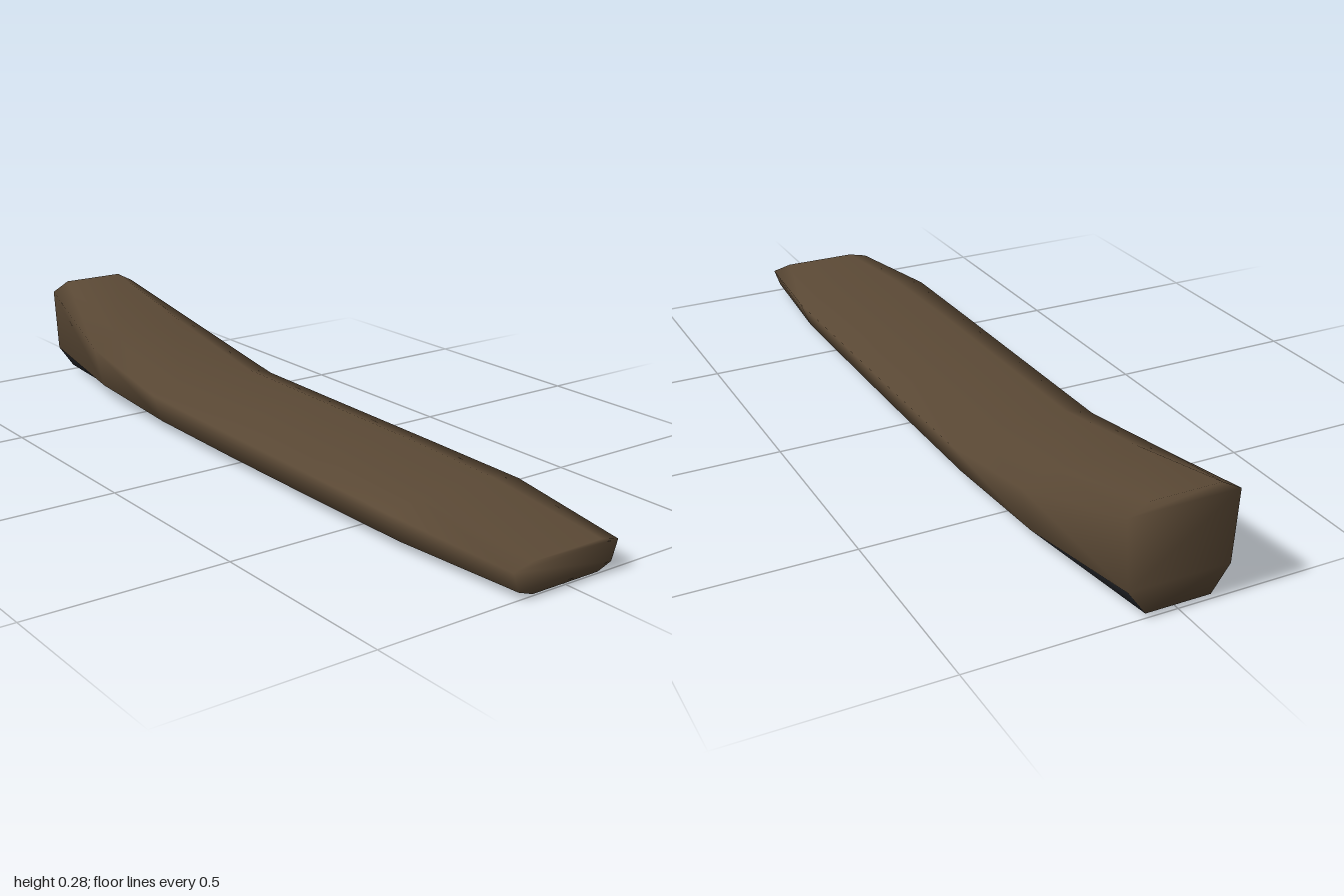
import * as THREE from 'three';

// Cross-sections along x. Each half section runs from the top down:
// top edge, shoulder, lower edge, sole edge, as [z, y].
const stations = [
  { x: -1.0, half: [[0.087, 0.276], [0.135, 0.25], [0.125, 0.075], [0.08, 0.012]] },
  { x: -0.66, half: [[0.11, 0.188], [0.187, 0.157], [0.16, 0.045], [0.1, 0.006]] },
  { x: -0.33, half: [[0.115, 0.125], [0.191, 0.102], [0.165, 0.027], [0.107, 0.002]] },
  { x: 0.0, half: [[0.115, 0.12], [0.192, 0.097], [0.165, 0.022], [0.107, 0]] },
  { x: 0.33, half: [[0.115, 0.115], [0.192, 0.093], [0.165, 0.02], [0.107, 0]] },
  { x: 0.66, half: [[0.11, 0.108], [0.192, 0.088], [0.165, 0.02], [0.107, 0]] },
  { x: 1.0, half: [[0.1, 0.077], [0.152, 0.065], [0.135, 0.018], [0.095, 0.004]] },
];

function buildBody() {
  const positions = [];
  for (const { x, half } of stations) {
    for (const [z, y] of half) positions.push(x, y, z);
    for (const [z, y] of [...half].reverse()) positions.push(x, y, -z);
  }
  const n = 8;
  const last = (stations.length - 1) * n;
  const upper = [];
  const sole = [];

  // Skin between neighbouring sections; the three lowest pairs are the sole
  for (let i = 0; i < stations.length - 1; i++) {
    for (let j = 0; j < n; j++) {
      const k = (j + 1) % n;
      const a = i * n + j, b = i * n + k, c = b + n, d = a + n;
      (j >= 2 && j <= 4 ? sole : upper).push(a, b, c, a, c, d);
    }
  }
  // End caps
  for (let k = 0; k < 3; k++) {
    const a = k, b = k + 1, c = 6 - k, d = 7 - k;
    upper.push(last + a, last + b, last + c, last + a, last + c, last + d);
    upper.push(a, c, b, a, d, c);
  }

  const geometry = new THREE.BufferGeometry();
  geometry.setAttribute('position', new THREE.Float32BufferAttribute(positions, 3));
  geometry.setIndex([...upper, ...sole]);
  geometry.addGroup(0, upper.length, 0);
  geometry.addGroup(upper.length, sole.length, 1);
  geometry.computeVertexNormals();
  return geometry;
}

export function createModel() {
  const brown = new THREE.MeshStandardMaterial({ color: 0x5c4a36 });
  brown.name = 'dark brown';
  const black = new THREE.MeshStandardMaterial({ color: 0x242529 });
  black.name = 'charcoal';

  const group = new THREE.Group();
  group.name = 'curvedBoard';
  const body = new THREE.Mesh(buildBody(), [brown, black]);
  body.name = 'bodyWithSole';
  group.add(body);
  return group;
}
